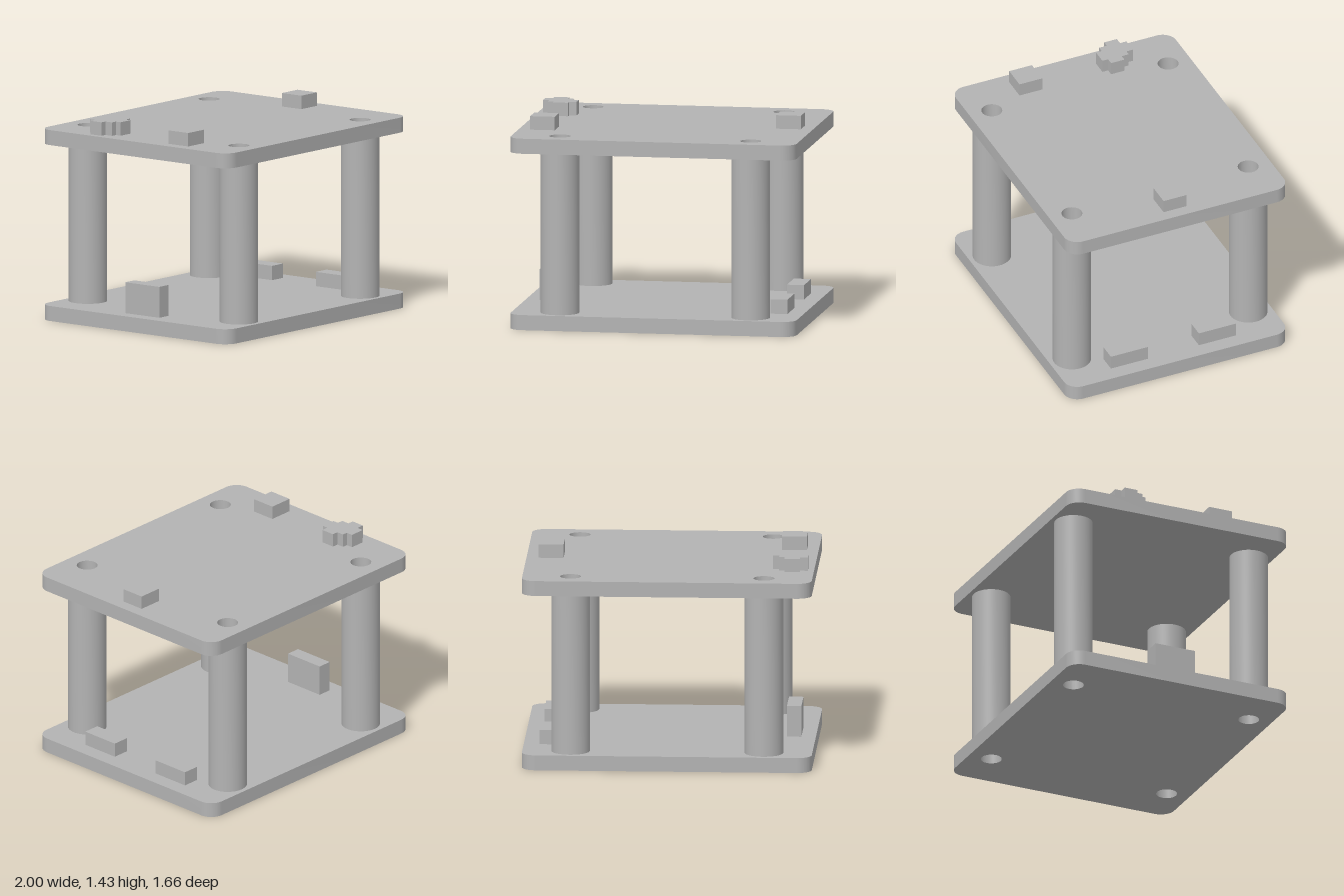
import * as THREE from 'three';
import { toCreasedNormals } from 'three/addons/utils/BufferGeometryUtils.js';

const BORE = 0.072, POST = 0.133, OFFSET = 0.667;
const PLATE = 0.105, TOP_Y = 1.23;
const CORNERS = [[-1, -1], [1, -1], [1, 1], [-1, 1]];

// Extrudes a plan outline (x, -z) upward from y = 0
function extrudeUp(shape, height) {
  const g = new THREE.ExtrudeGeometry(shape, { depth: height, bevelEnabled: false, curveSegments: 24 });
  g.rotateX(-Math.PI / 2);
  return toCreasedNormals(g, 0.6);
}

function circlePath(x, y, r) {
  return new THREE.Path().absarc(x, y, r, 0, Math.PI * 2, true);
}

// Rounded rectangle with a bore near each corner
function plateShape() {
  const w = 1, d = 0.832, r = 0.1;
  const s = new THREE.Shape();
  s.absarc(w - r, d - r, r, 0, Math.PI / 2);
  s.absarc(-w + r, d - r, r, Math.PI / 2, Math.PI);
  s.absarc(-w + r, -d + r, r, Math.PI, Math.PI * 1.5);
  s.absarc(w - r, -d + r, r, Math.PI * 1.5, Math.PI * 2);
  s.closePath();
  for (const [x, z] of CORNERS) s.holes.push(circlePath(x * OFFSET, z * OFFSET, BORE));
  return s;
}

export function createModel() {
  const model = new THREE.Group();
  model.name = 'standoffStack';
  const grey = new THREE.MeshStandardMaterial({ name: 'grey', color: 0xb3b3b3 });

  const add = (name, geometry, x, y, z) => {
    const mesh = new THREE.Mesh(geometry, grey);
    mesh.name = name;
    mesh.position.set(x, y, z);
    model.add(mesh);
  };
  // Block given by its plan centre, base height and size
  const block = (name, x, y, z, w, h, d) =>
    add(name, new THREE.BoxGeometry(w, h, d), x, y + h / 2, z);

  // Two bored plates
  const plate = extrudeUp(plateShape(), PLATE);
  add('bottomPlate', plate, 0, 0, 0);
  add('topPlate', plate, 0, TOP_Y, 0);

  // Four hollow posts between the plates
  const ring = new THREE.Shape().absarc(0, 0, POST, 0, Math.PI * 2);
  ring.holes.push(circlePath(0, 0, BORE));
  const post = extrudeUp(ring, TOP_Y - PLATE);
  for (const [x, z] of CORNERS) add('post', post, x * OFFSET, PLATE, z * OFFSET);

  // Blocks on the bottom plate
  block('tallBlock', -0.85, PLATE, 0, 0.1, 0.216, 0.3);
  for (const s of [-1, 1]) block('lowBlock', 0.83, PLATE, s * 0.333, 0.12, 0.1, 0.28);

  // Blocks on the top plate
  const top = TOP_Y + PLATE;
  block('leftTopBlock', 0.83, top, 0, 0.172, 0.094, 0.172);
  block('rightTopBlock', -0.833, top, 0.335, 0.172, 0.094, 0.172);

  // Stepped round button, outline in x and z
  const outline = [
    [-0.904, -0.46], [-0.797, -0.46], [-0.797, -0.411], [-0.759, -0.411], [-0.759, -0.358],
    [-0.714, -0.358], [-0.714, -0.257], [-0.764, -0.257], [-0.764, -0.214], [-0.871, -0.214],
    [-0.871, -0.257], [-0.914, -0.257], [-0.914, -0.315], [-0.957, -0.315], [-0.957, -0.411],
    [-0.904, -0.411],
  ];
  const button = new THREE.Shape(outline.map(([x, z]) => new THREE.Vector2(x, -z)));
  add('steppedButton', extrudeUp(button, 0.094), 0, top, 0);

  return model;
}
